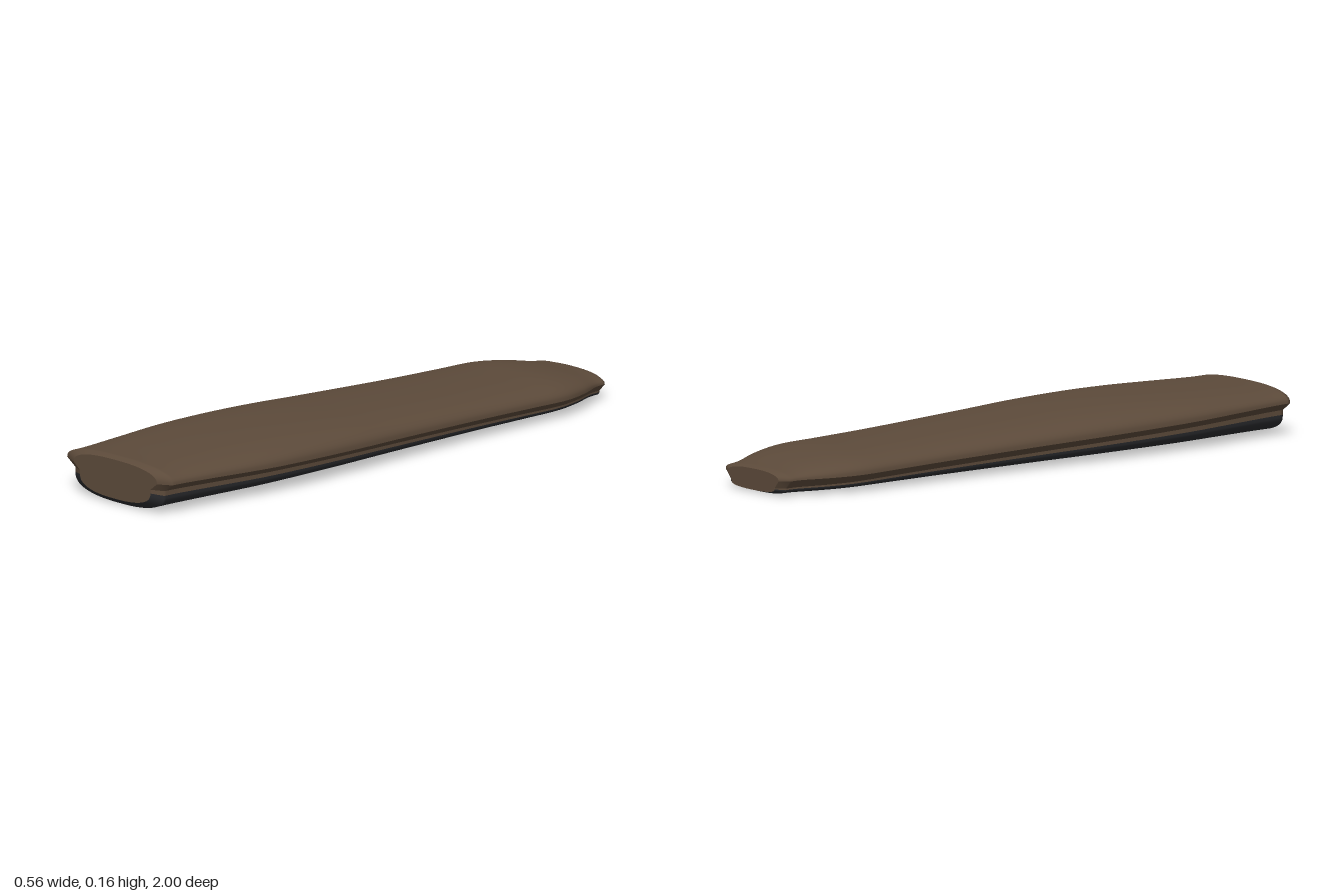
import * as THREE from 'three';

// Stations along the hull: z, half width at the rim, height of the deck
const STATIONS = [
  [-0.98, 0.162, 0.079], [-0.94, 0.168, 0.085], [-0.85, 0.208, 0.103], [-0.75, 0.236, 0.116],
  [-0.6, 0.24, 0.121], [-0.4, 0.243, 0.128], [0, 0.26, 0.147], [0.2, 0.272, 0.157],
  [0.4, 0.278, 0.162], [0.58, 0.276, 0.161], [0.78, 0.256, 0.156], [0.92, 0.242, 0.152], [0.98, 0.24, 0.152],
];
const STEPS = 72;
const ARC = 32;
const POWER = 2.5;

// Half-ellipse with squared shoulders, from +x to -x
function arch(halfWidth, baseY, height) {
  const pts = [];
  for (let i = 0; i <= ARC; i++) {
    const a = (Math.PI * i) / ARC;
    const c = Math.cos(a), s = Math.max(0, Math.sin(a));
    pts.push([
      halfWidth * Math.sign(c) * Math.abs(c) ** (2 / POWER),
      baseY + height * s ** (2 / POWER),
    ]);
  }
  return pts;
}

// Cross-section split into its bands; each runs clockwise seen from the front
function section(z, w, top, squeeze) {
  const rim = 0.0775 + 0.0275 * z;
  const notch = rim - 0.026;
  const lip = notch * 0.8;
  const inner = w * 0.845;
  const place = ([x, y]) => [
    x * (squeeze ? 0.79 : 1),
    squeeze ? notch + (y - notch) * (y > notch ? 0.9 : 0.78) : y,
    squeeze ? Math.sign(z) : z,
  ];
  const bands = {
    deck: arch(w, rim, top - rim).reverse(),
    leftFlange: [[w, rim], [inner, notch]],
    leftLip: [[inner, notch], [inner, lip]],
    keel: arch(inner, lip, -lip),
    rightLip: [[-inner, lip], [-inner, notch]],
    rightFlange: [[-inner, notch], [-w, rim]],
  };
  for (const name in bands) bands[name] = bands[name].map(place);
  return { bands, center: [0, notch, Math.sign(z)] };
}

// Skin between successive rows of points
function loft(rows) {
  const n = rows[0].length;
  const index = [];
  for (let r = 0; r < rows.length - 1; r++) {
    for (let i = 0; i < n - 1; i++) {
      const a = r * n + i, b = a + 1, c = a + n, d = c + 1;
      index.push(a, c, b, b, c, d);
    }
  }
  const g = new THREE.BufferGeometry();
  g.setAttribute('position', new THREE.Float32BufferAttribute(rows.flat(2), 3));
  g.setIndex(index);
  g.computeVertexNormals();
  return g;
}

// Flat end closing a section
function endCap({ bands, center }, front) {
  const ring = Object.values(bands).flat();
  const index = [];
  for (let i = 0; i < ring.length; i++) {
    const a = i + 1, b = ((i + 1) % ring.length) + 1;
    index.push(0, front ? b : a, front ? a : b);
  }
  const g = new THREE.BufferGeometry();
  g.setAttribute('position', new THREE.Float32BufferAttribute([center, ...ring].flat(), 3));
  g.setIndex(index);
  g.computeVertexNormals();
  return g;
}

export function createModel() {
  const group = new THREE.Group();
  group.name = 'hull';
  const brown = new THREE.MeshStandardMaterial({ color: 0x5c4a3a });
  const dark = new THREE.MeshStandardMaterial({ color: 0x2a2b2e });
  const add = (name, geometry, material) => {
    const mesh = new THREE.Mesh(geometry, material);
    mesh.name = name;
    group.add(mesh);
  };

  // Smooth the stations, then pull in a narrow bevel at each end
  const path = new THREE.CatmullRomCurve3(
    STATIONS.map(([z, w, top]) => new THREE.Vector3(w, top, z)), false, 'centripetal');
  const sections = path.getPoints(STEPS).map((p) => section(p.z, p.x, p.y, false));
  const first = STATIONS[0], last = STATIONS[STATIONS.length - 1];
  sections.unshift(section(...first, true));
  sections.push(section(...last, true));

  // Lengthwise bands: deck, overhanging flanges, lips and dark keel
  for (const name of Object.keys(sections[0].bands)) {
    add(name, loft(sections.map((s) => s.bands[name])), name === 'keel' ? dark : brown);
  }

  // Ends
  add('frontEnd', endCap(sections[sections.length - 1], true), brown);
  add('backEnd', endCap(sections[0], false), brown);
  return group;
}
